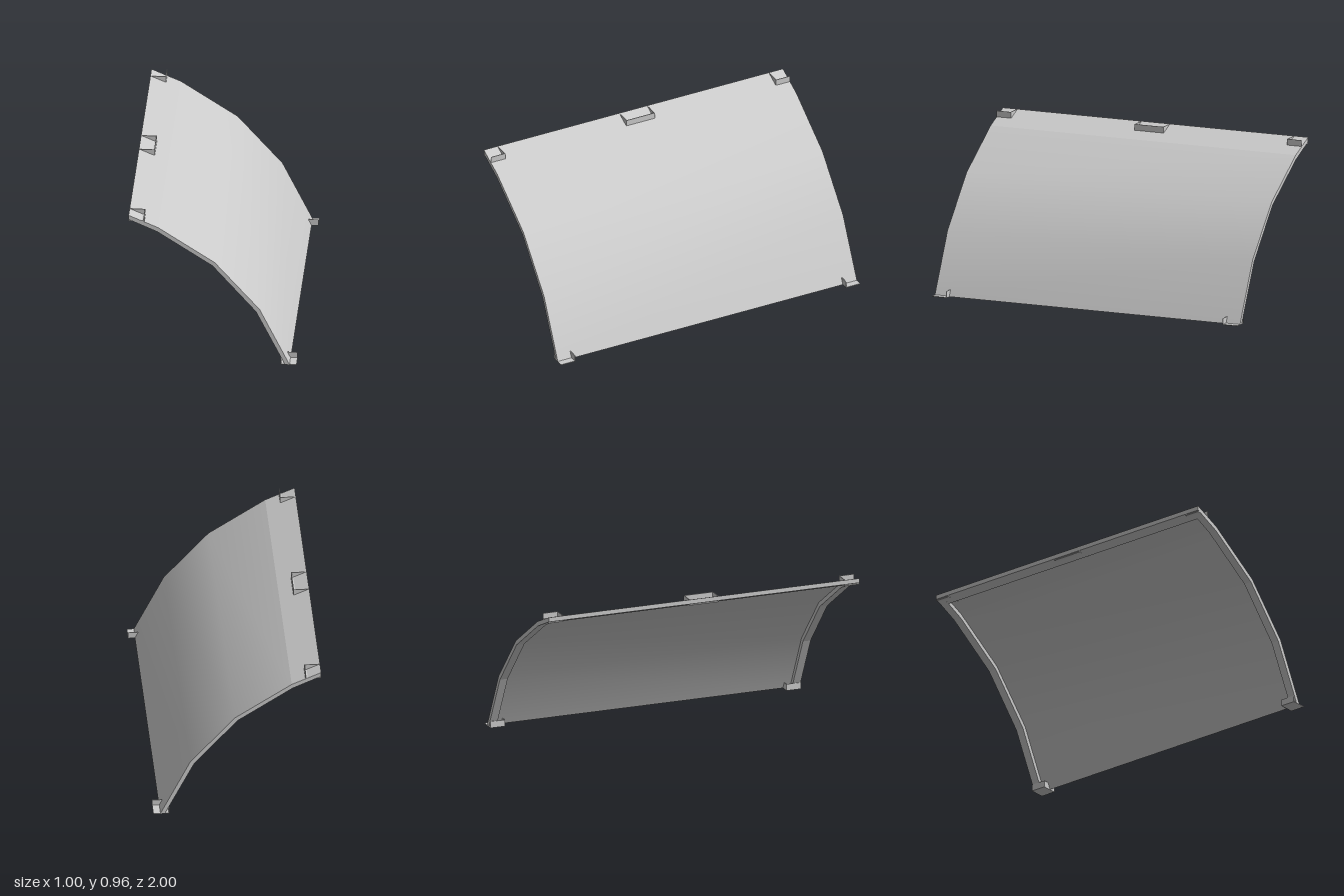
import * as THREE from 'three';

const material = new THREE.MeshStandardMaterial({ color: 0xcccccc, side: THREE.DoubleSide });

// Arched profile in x/y, from the high edge down to the foot
const outer = [[-0.5, 0.955], [-0.325, 0.88], [0.013, 0.66], [0.28, 0.36], [0.459, 0]];
const inner = [[-0.5, 0.928], [-0.33, 0.853], [0, 0.638], [0.258, 0.345], [0.432, 0]];

function addMesh(parent, name, geometry) {
  const mesh = new THREE.Mesh(geometry, material);
  mesh.name = name;
  parent.add(mesh);
  return mesh;
}

// Solid with an x/y outline, running from z0 to z1
function prism(points, z0, z1) {
  const shape = new THREE.Shape(points.map(([x, y]) => new THREE.Vector2(x, y)));
  return new THREE.ExtrudeGeometry(shape, { depth: z1 - z0, bevelEnabled: false }).translate(0, 0, z0);
}

// Thin skin swept along z, smooth across its bends
function skin(points) {
  const positions = [], index = [];
  points.forEach(([x, y], i) => {
    positions.push(x + 0.0006, y + 0.0008, 1, x + 0.0006, y + 0.0008, -1);
    const a = 2 * i;
    if (i < points.length - 1) index.push(a + 1, a, a + 2, a + 1, a + 2, a + 3);
  });
  const geometry = new THREE.BufferGeometry();
  geometry.setAttribute('position', new THREE.Float32BufferAttribute(positions, 3));
  geometry.setIndex(index);
  geometry.computeVertexNormals();
  return geometry;
}

// Open tray: floor, one end wall and the chosen side walls
function bracket(name, x0, x1, y0, y1, z0, z1, wallX, sideZs) {
  const group = new THREE.Group();
  group.name = name;
  const t = 0.004;
  const plate = (part, ax, bx, ay, by, az, bz) =>
    addMesh(group, part, new THREE.BoxGeometry(bx - ax, by - ay, bz - az)
      .translate((ax + bx) / 2, (ay + by) / 2, (az + bz) / 2));
  plate('bracketFloor', x0, x1, y0, y0 + t, z0, z1);
  plate('bracketEndWall', wallX, wallX + t, y0, y1, z0, z1);
  for (const z of sideZs) {
    const s = z > (z0 + z1) / 2 ? z - t : z;
    plate('bracketSideWall', x0, x1, y0, y1, s, s + t);
  }
  return group;
}

export function createModel() {
  const model = new THREE.Group();
  model.name = 'curvedPanel';

  // Covering sheet, with a crease below the top strip
  addMesh(model, 'topSheet', skin(outer.slice(0, 2)));
  addMesh(model, 'mainSheet', skin(outer.slice(1)));

  // Bent ribs under both ends
  const ribOutline = [...outer, ...[...inner].reverse()];
  addMesh(model, 'frontRib', prism(ribOutline, 0.95, 1));
  addMesh(model, 'backRib', prism(ribOutline, -1, -0.95));

  // Beam under the high edge, between the ribs
  const beamOutline = [[-0.5, 0.955], [-0.445, 0.932], [-0.445, 0.904], [-0.5, 0.928]];
  addMesh(model, 'topBeam', prism(beamOutline, -0.95, 0.95));

  // Mounting brackets along the high edge and at the feet
  const top = [-0.5, -0.406, 0.918, 0.955];
  const foot = [0.405, 0.5, 0, 0.04];
  model.add(
    bracket('topFrontBracket', ...top, 0.905, 1, -0.41, [0.905]),
    bracket('topMiddleBracket', ...top, -0.095, 0.095, -0.41, [-0.095, 0.095]),
    bracket('topBackBracket', ...top, -1, -0.905, -0.41, [-0.905]),
    bracket('footFrontBracket', ...foot, 0.905, 1, 0.405, [0.905]),
    bracket('footBackBracket', ...foot, -1, -0.905, 0.405, [-0.905]),
  );
  return model;
}
